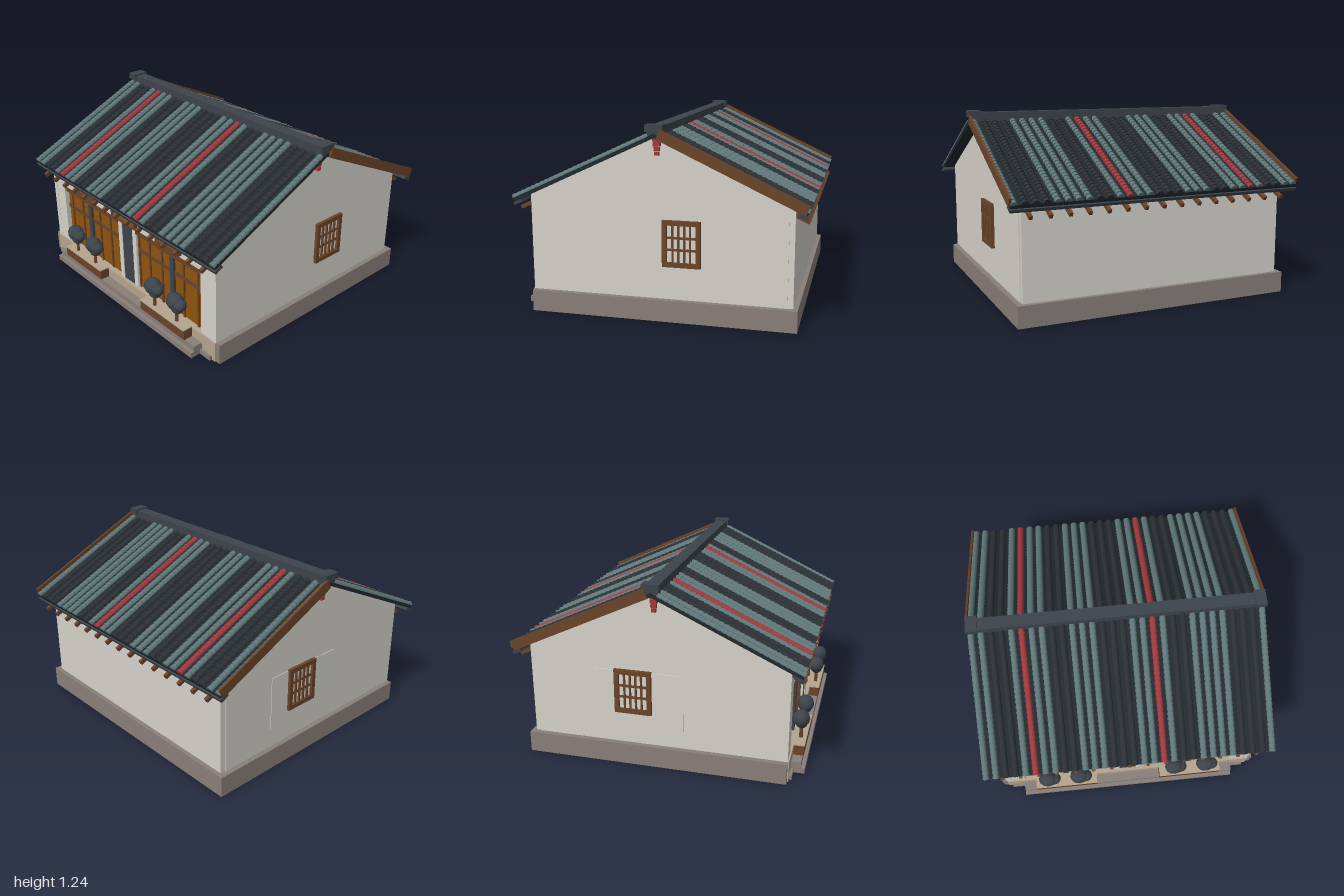
import * as THREE from 'three';
import { mergeGeometries } from 'three/addons/utils/BufferGeometryUtils.js';

const material = (name, color) => Object.assign(new THREE.MeshStandardMaterial({ color }), { name });
const MAT = {
  wall: material('plaster', 0xd6d3cb),
  wood: material('brown wood', 0x6b4429),
  door: material('amber panel', 0x8f5210),
  stone: material('tan stone', 0xb5a58e),
  plinth: material('plinth stone', 0x8a7f7a),
  slate: material('slate grey', 0x3d444b),
  light: material('light tile', 0x5f7678),
  dark: material('dark tile', 0x2b3035),
  red: material('red', 0xa0383c),
  base: material('roof base', 0x222a2f),
};

function add(parent, name, geometry, mat) {
  const mesh = new THREE.Mesh(geometry, mat);
  mesh.name = name;
  parent.add(mesh);
  return mesh;
}

// Box given by its minimum and maximum on each axis
function box(parent, name, mat, x0, x1, y0, y1, z0, z1) {
  const mesh = add(parent, name, new THREE.BoxGeometry(x1 - x0, y1 - y0, z1 - z0), mat);
  mesh.position.set((x0 + x1) / 2, (y0 + y1) / 2, (z0 + z1) / 2);
  return mesh;
}

function group(parent, name) {
  const g = new THREE.Group();
  g.name = name;
  parent.add(g);
  return g;
}

// Rectangular wooden frame facing +z
function frame(parent, name, x0, x1, y0, y1, z0, z1, t) {
  const s = new THREE.Shape();
  s.moveTo(x0, y0).lineTo(x1, y0).lineTo(x1, y1).lineTo(x0, y1).closePath();
  const h = new THREE.Path();
  h.moveTo(x0 + t, y0 + t).lineTo(x0 + t, y1 - t).lineTo(x1 - t, y1 - t).lineTo(x1 - t, y0 + t).closePath();
  s.holes.push(h);
  const mesh = add(parent, name, new THREE.ExtrudeGeometry(s, { depth: z1 - z0, bevelEnabled: false }), MAT.wood);
  mesh.position.z = z0;
}

function buildWalls(house) {
  // Gable walls, profile in z and y
  const s = new THREE.Shape();
  s.moveTo(-0.845, 0.1).lineTo(0.81, 0.1).lineTo(0.81, 0.785).lineTo(0, 1.165).lineTo(-0.845, 0.77).closePath();
  const gable = new THREE.ExtrudeGeometry(s, { depth: 0.04, bevelEnabled: false }).rotateY(Math.PI / 2);
  for (const x of [-0.91, 0.87]) add(house, 'gableWall', gable, MAT.wall).position.x = x;
  box(house, 'backWall', MAT.wall, -0.905, 0.905, 0.1, 0.77, -0.845, -0.805);
  box(house, 'wallPatch', MAT.wall, -0.914, -0.9, 0.26, 0.64, -0.42, 0.18);

  // Front wall around the doors
  box(house, 'frontLintel', MAT.wall, -0.905, 0.905, 0.6, 0.77, 0.8, 0.843);
  for (const s of [-1, 1]) {
    box(house, 'frontPillar', MAT.wall, s * 0.8375 - 0.0675, s * 0.8375 + 0.0675, 0.1, 0.6, 0.8, 0.843);
    box(house, 'doorJamb', MAT.wall, s * 0.08 - 0.02, s * 0.08 + 0.02, 0.14, 0.6, 0.8, 0.835);
  }

  // Plinth, front sill, floor and steps
  for (const s of [-1, 1]) box(house, 'sidePlinth', MAT.plinth, s * 0.9125 - 0.0325, s * 0.9125 + 0.0325, 0, 0.14, -0.875, 0.845);
  box(house, 'backPlinth', MAT.plinth, -0.88, 0.88, 0, 0.14, -0.875, -0.81);
  box(house, 'frontSill', MAT.stone, -0.91, 0.91, 0, 0.14, 0.79, 0.853);
  box(house, 'floor', MAT.base, -0.81, 0.81, 0, 0.02, -0.73, 0.72);
  box(house, 'groundStrip', MAT.plinth, -0.88, 0.88, 0, 0.03, 0.84, 0.87);
  box(house, 'lowerStep', MAT.plinth, -0.785, 0.785, 0, 0.037, 0.85, 0.94);
  box(house, 'upperStep', MAT.plinth, -0.785, 0.785, 0.037, 0.075, 0.85, 0.915);
}

function buildFront(house) {
  box(house, 'centreDoor', MAT.slate, -0.063, 0.063, 0.14, 0.6, 0.8, 0.83);
  for (const s of [-1, 1]) {
    const bay = group(house, 'doorBay');
    const strip = (name, mat, a, b, y0, y1, z1) =>
      box(bay, name, mat, Math.min(s * a, s * b), Math.max(s * a, s * b), y0, y1, 0.79, z1);
    strip('doorPanels', MAT.door, 0.1, 0.77, 0.14, 0.56, 0.81);
    strip('doorHead', MAT.wood, 0.1, 0.77, 0.56, 0.6, 0.838);
    strip('doorRail', MAT.wood, 0.1, 0.77, 0.42, 0.448, 0.818);
    for (const x of [0.107, 0.225, 0.355, 0.575, 0.715]) strip('doorMullion', MAT.wood, x - 0.006, x + 0.006, 0.14, 0.56, 0.82);
    strip('bayPost', MAT.slate, 0.447, 0.485, 0.14, 0.56, 0.828);
    frame(house, 'upperWindowFrame', s * 0.47 - 0.12, s * 0.47 + 0.12, 0.62, 0.75, 0.84, 0.865, 0.025);

    // Planter with two small trees
    const planter = group(house, 'planter');
    const px = s * 0.463;
    box(planter, 'planterBox', MAT.wood, px - 0.228, px + 0.228, 0.075, 0.142, 0.853, 0.92);
    box(planter, 'planterTop', MAT.stone, px - 0.228, px + 0.228, 0.142, 0.149, 0.853, 0.924);
    for (const x of [s * 0.465 - 0.115, s * 0.465 + 0.115]) {
      const tree = group(planter, 'tree');
      tree.position.set(x, 0, 0.885);
      add(tree, 'trunk', new THREE.CylinderGeometry(0.009, 0.013, 0.12, 6), MAT.wood).position.y = 0.2;
      const branch = add(tree, 'branch', new THREE.CylinderGeometry(0.005, 0.007, 0.06, 5), MAT.wood);
      branch.position.set(0.02, 0.22, 0);
      branch.rotation.z = -0.7;
      for (const [cx, cy, rx, ry, rz] of [[-0.012, 0.292, 0.068, 0.058, 0.056], [0.035, 0.284, 0.046, 0.042, 0.045], [0.008, 0.25, 0.048, 0.036, 0.04]]) {
        const leaf = add(tree, 'crown', new THREE.IcosahedronGeometry(1, 1), MAT.slate);
        leaf.scale.set(rx, ry, rz);
        leaf.position.set(cx, cy, 0);
      }
    }
  }
  // Blank board over the door
  box(house, 'boardPanel', MAT.door, -0.12, 0.12, 0.62, 0.695, 0.84, 0.857);
  frame(house, 'boardFrame', -0.132, 0.132, 0.61, 0.705, 0.84, 0.867, 0.014);
}

function buildSides(house) {
  for (const s of [-1, 1]) {
    // Lattice window, built facing +z and turned to the side
    const win = group(house, 'sideWindow');
    win.position.set(s * 0.91, 0.5025, -0.15);
    win.rotation.y = s * Math.PI / 2;
    box(win, 'pane', MAT.wall, -0.1, 0.1, -0.12, 0.12, 0, 0.005);
    frame(win, 'windowFrame', -0.122, 0.122, -0.148, 0.148, 0, 0.022, 0.03);
    for (let i = 0; i < 4; i++) {
      const x = -0.056 + i * 0.0373;
      box(win, 'verticalBar', MAT.wood, x - 0.006, x + 0.006, -0.12, 0.12, 0, 0.016);
    }
    for (const y of [-0.038, 0.038]) box(win, 'crossBar', MAT.wood, -0.095, 0.095, y - 0.007, y + 0.007, 0, 0.014);

    // Tapering red pendant under the ridge
    for (let i = 0; i < 4; i++) {
      const w = 0.026 - i * 0.004, y = 1.135 - i * 0.028;
      box(house, 'pendant', MAT.red, s * 0.92 - 0.015, s * 0.92 + 0.015, y, y + 0.023, -w, w);
    }
  }
}

function buildRoof(house) {
  // Merge the rounded cover tiles of one slope by colour
  const columns = 'LLDDLRLLDDLLLDDDLLRLDDLLLLDDDL', rows = 28, len = 0.985 / rows;
  const tile = new THREE.CylinderGeometry(0.024, 0.019, len, 6, 1, false, Math.PI / 2, Math.PI).rotateX(Math.PI / 2);
  const sets = { L: [], D: [], R: [] };
  [...columns].forEach((c, i) => {
    for (let r = 0; r < rows; r++) sets[c].push(tile.clone().translate(-0.97 + i * 1.94 / 29, -0.01, 0.045 + (r + 0.5) * len));
  });
  const tiles = Object.entries(sets).map(([key, list]) => [key, mergeGeometries(list)]);
  const tileMat = { L: MAT.light, D: MAT.dark, R: MAT.red };

  for (const back of [0, 1]) {
    const side = group(house, back ? 'backRoof' : 'frontRoof');
    side.rotation.y = back * Math.PI;
    const slope = group(side, 'slope');
    slope.position.y = 1.2;
    slope.rotation.x = 0.436;
    for (const [key, geometry] of tiles) {
      // Mirror the column order so stripes line up across the ridge
      const mesh = add(slope, 'coverTiles', geometry, tileMat[key]);
      if (back) mesh.geometry = geometry.clone().rotateY(Math.PI).scale(1, 1, -1);
      if (back) mesh.geometry.setIndex([...mesh.geometry.index.array].reverse());
    }
    box(slope, 'roofSlab', MAT.base, -0.99, 0.99, -0.033, -0.009, 0, 1.03);
    box(slope, 'eaveBoard', MAT.slate, -0.995, 0.995, -0.055, -0.034, 0.98, 1.04);
    if (back) for (const s of [-1, 1]) box(slope, 'rakeBoard', MAT.wood, s * 0.9925 - 0.0075, s * 0.9925 + 0.0075, -0.033, 0.032, 0.03, 1.02);

    // Rafter ends under the eave
    for (let i = 0; i < 15; i++) {
      const rafter = box(side, 'rafter', MAT.wood, -0.011, 0.011, -0.013, 0.013, -0.07, 0.07);
      rafter.position.set(-0.872 + i * 0.12457, 0.705, 0.866);
      rafter.rotation.x = 0.436;
    }
  }
  // Ridge with raised ends
  box(house, 'ridge', MAT.slate, -0.985, 0.985, 1.17, 1.232, -0.042, 0.042);
  for (const s of [-1, 1]) box(house, 'ridgeEnd', MAT.slate, s * 0.957 - 0.038, s * 0.957 + 0.038, 1.2, 1.243, -0.055, 0.055);
}

export function createModel() {
  const house = new THREE.Group();
  house.name = 'tileRoofedHouse';
  buildWalls(house);
  buildFront(house);
  buildSides(house);
  buildRoof(house);
  return house;
}
